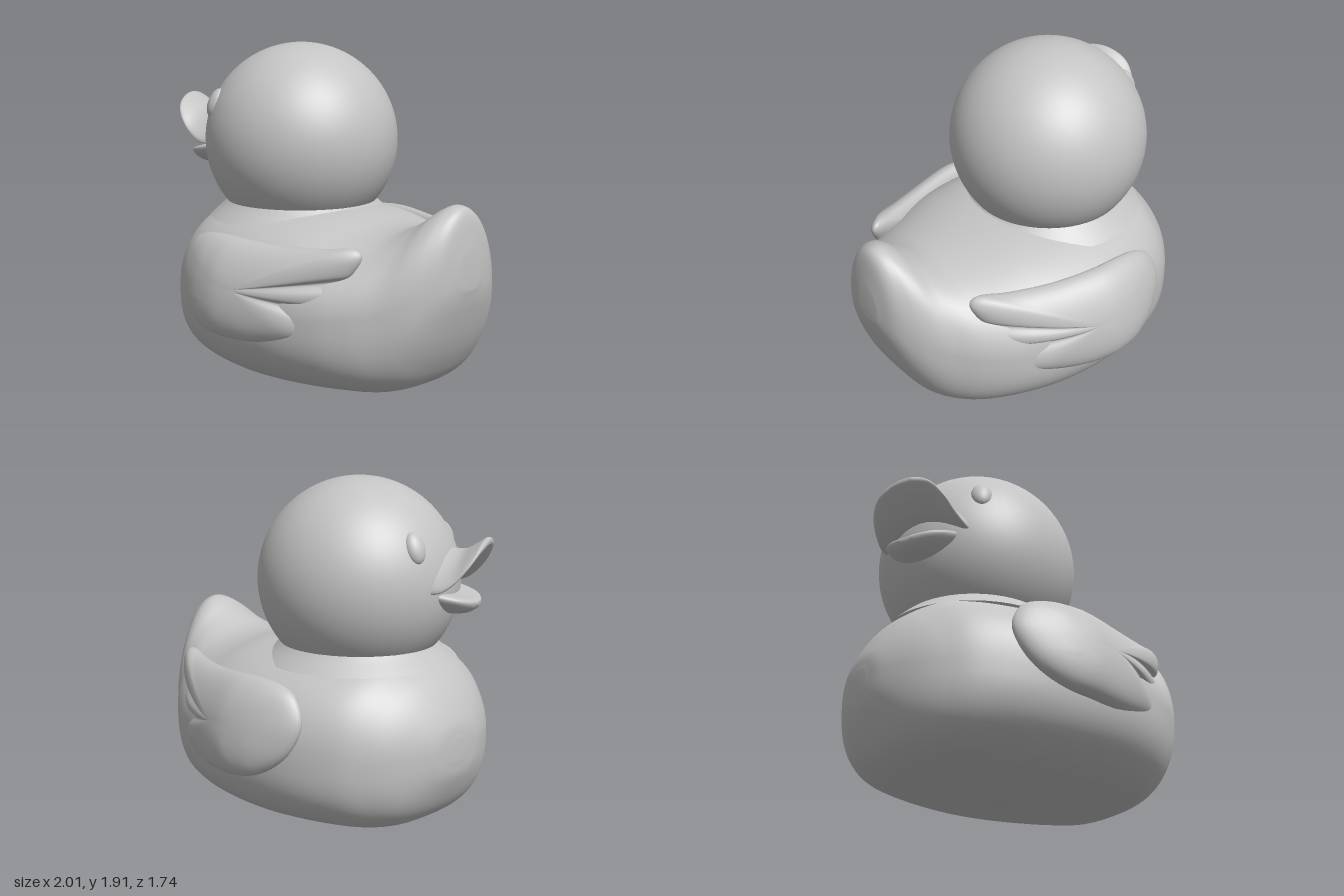
import * as THREE from 'three';

const grey = new THREE.MeshStandardMaterial({ color: 0xc4c4c4 });
grey.name = 'soft grey';

// Smooth skin over closed rings of points, each end closed at its centre
function skin(name, rings) {
  const centre = r => {
    const c = r.reduce((s, p) => s.add(p), new THREE.Vector3()).divideScalar(r.length);
    return r.map(() => c);
  };
  const all = [centre(rings[0]), ...rings, centre(rings[rings.length - 1])];
  const n = rings[0].length, pos = [], index = [];
  all.forEach(r => r.forEach(p => pos.push(p.x, p.y, p.z)));
  for (let i = 0; i < all.length - 1; i++) {
    for (let j = 0; j < n; j++) {
      const k = (j + 1) % n, a = i * n + j, b = a + n, c = i * n + k, d = c + n;
      index.push(a, b, c, b, d, c);
    }
  }
  const g = new THREE.BufferGeometry();
  g.setAttribute('position', new THREE.Float32BufferAttribute(pos, 3));
  g.setIndex(index);
  g.computeVertexNormals();
  return mesh(name, g);
}

function mesh(name, geometry) {
  const m = new THREE.Mesh(geometry, grey);
  m.name = name;
  return m;
}

// Sections at six-number stations, blended smoothly; section(values, cos, sin) gives a point
function loft(name, stations, steps, around, section) {
  const curve = o => new THREE.CatmullRomCurve3(
    stations.map(s => new THREE.Vector3(s[o], s[o + 1], s[o + 2])), false, 'catmullrom', 0.5);
  const first = curve(0), second = curve(3), rings = [];
  for (let i = 0; i <= steps; i++) {
    const v = [...first.getPoint(i / steps).toArray(), ...second.getPoint(i / steps).toArray()];
    const ring = [];
    for (let j = 0; j < around; j++) {
      const a = j / around * Math.PI * 2;
      ring.push(section(v, Math.cos(a), Math.sin(a)));
    }
    rings.push(ring);
  }
  return skin(name, rings);
}

const power = (v, e) => Math.sign(v) * Math.pow(Math.abs(v), e);

// Body with raised tail: x, bottom, widest height, top, half width, roundness of the upper half
function body() {
  const stations = [
    [-1, 0.44, 0.5, 0.56, 0.06, 1],
    [-0.98, 0.33, 0.5, 0.66, 0.2, 1],
    [-0.9, 0.17, 0.49, 0.8, 0.38, 1],
    [-0.8, 0.08, 0.48, 0.9, 0.51, 0.95],
    [-0.65, 0.03, 0.48, 0.98, 0.63, 0.88],
    [-0.4, 0.01, 0.48, 1, 0.73, 0.84],
    [-0.1, 0, 0.48, 1, 0.77, 0.84],
    [0.2, 0.01, 0.49, 0.98, 0.75, 0.9],
    [0.45, 0.025, 0.5, 0.935, 0.67, 0.98],
    [0.62, 0.045, 0.52, 0.945, 0.57, 1.05],
    [0.75, 0.11, 0.55, 1.01, 0.46, 1.1],
    [0.84, 0.23, 0.59, 1.075, 0.38, 1.1],
    [0.91, 0.37, 0.64, 1.095, 0.3, 1.1],
    [0.97, 0.54, 0.7, 1.05, 0.2, 1.05],
    [1, 0.66, 0.74, 0.86, 0.08, 1],
  ];
  return loft('body', stations, 84, 72, ([x, bottom, mid, top, w, e], c, s) => {
    const k = s > 0 ? e : 0.75;
    const h = s > 0 ? top - mid : mid - bottom;
    return new THREE.Vector3(x, mid + h * power(s, k), w * power(c, k));
  });
}

// Puffy wing with feather lobes at its trailing end
function wing(side) {
  const outline = new THREE.CatmullRomCurve3([
    [-0.51, 0.66], [-0.46, 0.8], [-0.35, 0.865], [-0.15, 0.885], [0.2, 0.865],
    [0.45, 0.87], [0.6, 0.885], [0.65, 0.84], [0.61, 0.75], [0.56, 0.71],
    [0.56, 0.65], [0.51, 0.585], [0.45, 0.55], [0.46, 0.48], [0.4, 0.4],
    [0.2, 0.355], [0, 0.345], [-0.25, 0.375], [-0.43, 0.49],
  ].map(([x, y]) => new THREE.Vector3(x, y, 0)), true, 'catmullrom', 0.5);
  const around = 114, steps = 24, cx = 0.03, cy = 0.63, rings = [];
  for (let i = 1; i < steps; i++) {
    const a = Math.PI * (1 - i / steps), s = Math.sin(a), ring = [];
    for (let j = 0; j < around; j++) {
      const t = j / around, p = outline.getPoint(t);
      const x = cx + (p.x - cx) * s, y = cy + (p.y - cy) * s;
      const groove = [9, 12].reduce((g, k) => g + Math.exp(-(((t * 19 - k) / 0.8) ** 2)), 0);
      const puff = Math.cos(a) * (a < Math.PI / 2 ? 0.13 : 0.1);
      const lean = 0.74 - 0.34 * Math.max(0, x + 0.1) ** 1.3 - 0.2 * (y - 0.6)
        - 0.12 * Math.max(0, -x - 0.25);
      const z = lean + puff - (a < Math.PI / 2 ? 0.04 * groove * s * s * Math.cos(a) * 2 : 0);
      ring.push(new THREE.Vector3(x, y, side * z));
    }
    rings.push(ring);
  }
  if (side < 0) rings.reverse();
  return skin(side > 0 ? 'leftWing' : 'rightWing', rings);
}

// Half of the bill: x, height, half width, half thickness, droop of the edges
function bill(name, stations) {
  return loft(name, stations, 28, 40, ([x, y, w, t, droop], c, s) =>
    new THREE.Vector3(x, y + t * s - droop * c * c, w * c));
}

// Head turned towards one side, carrying the bill and eyes
function head() {
  const g = new THREE.Group();
  g.name = 'head';
  g.position.set(-0.285, 1.345, 0);
  g.rotation.y = THREE.MathUtils.degToRad(23);
  const skull = mesh('skull', new THREE.SphereGeometry(0.563, 64, 48));
  g.add(skull);
  g.add(bill('upperBill', [
    [-0.735, 0.235, 0.06, 0.012, 0.005, 0],
    [-0.715, 0.225, 0.17, 0.03, 0.035, 0],
    [-0.67, 0.185, 0.235, 0.042, 0.07, 0],
    [-0.6, 0.135, 0.265, 0.055, 0.1, 0],
    [-0.52, 0.12, 0.28, 0.075, 0.13, 0],
    [-0.4, 0.14, 0.27, 0.1, 0.15, 0],
  ]));
  g.add(bill('lowerBill', [
    [-0.685, -0.1, 0.04, 0.012, -0.005, 0],
    [-0.66, -0.105, 0.12, 0.032, -0.02, 0],
    [-0.61, -0.11, 0.18, 0.048, -0.04, 0],
    [-0.52, -0.1, 0.22, 0.062, -0.05, 0],
    [-0.4, -0.07, 0.23, 0.07, -0.05, 0],
  ]));
  for (const side of [1, -1]) {
    const eye = mesh(side > 0 ? 'leftEye' : 'rightEye', new THREE.SphereGeometry(1, 28, 20));
    eye.scale.set(0.058, 0.088, 0.045);
    eye.position.set(-0.405, 0.22, side * 0.3);
    eye.quaternion.setFromUnitVectors(new THREE.Vector3(0, 0, 1), eye.position.clone().normalize());
    // Keep each oval upright on the skull
    eye.rotation.set(-0.4, Math.atan2(-0.405, side * 0.3), 0, 'YXZ');
    g.add(eye);
  }
  return g;
}

export function createModel() {
  const model = new THREE.Group();
  model.name = 'bathDuck';
  model.add(body(), wing(1), wing(-1), head());

  // Neck flare between head and body
  const neck = mesh('neck', new THREE.LatheGeometry([
    [0.54, 0.9], [0.48, 0.955], [0.44, 0.99], [0.42, 1.02], [0.43, 1.06],
  ].map(([r, y]) => new THREE.Vector2(r, y)), 56));
  neck.position.x = -0.285;
  model.add(neck);
  return model;
}
